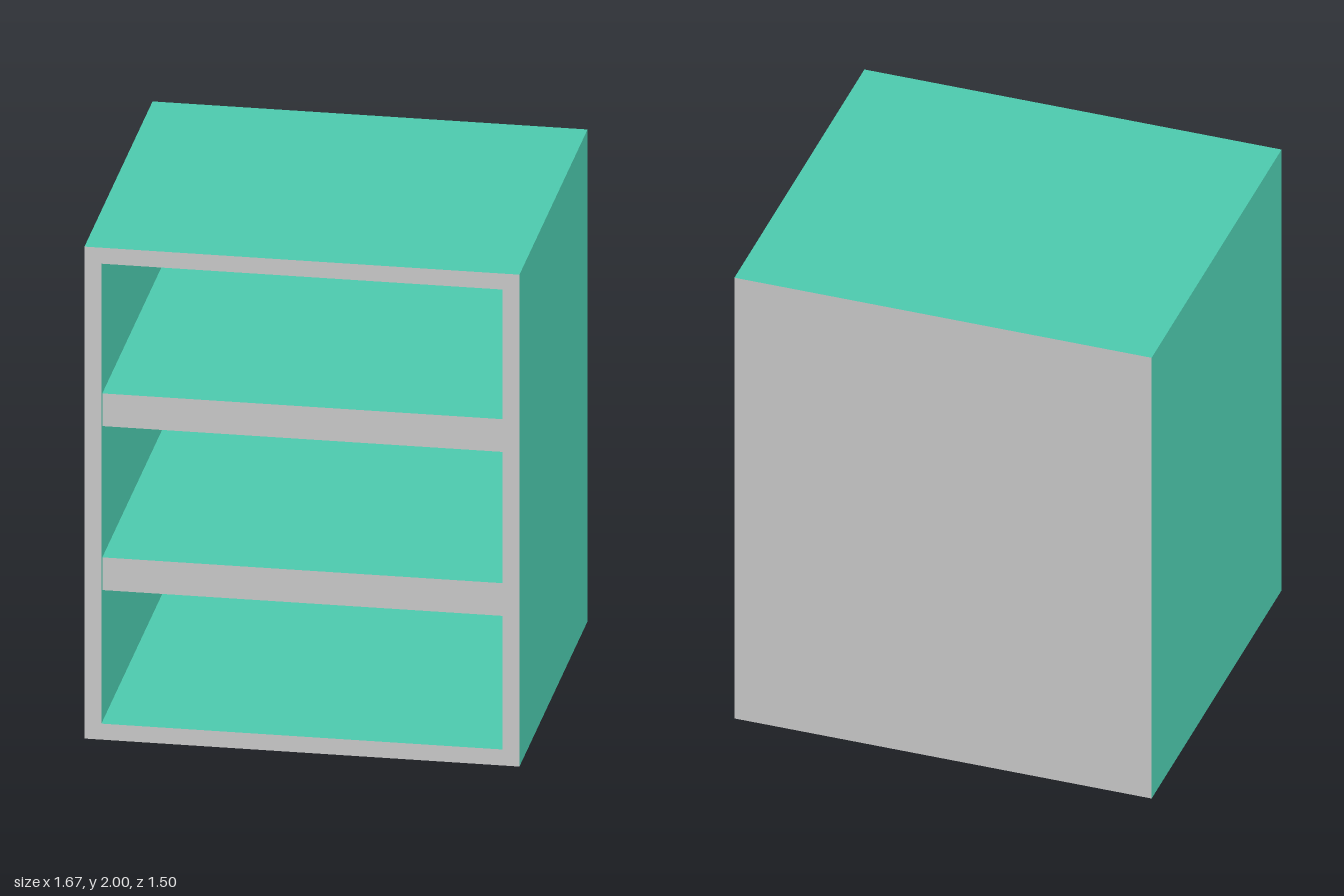
import * as THREE from 'three';

const W = 1.667, H = 2, D = 1.5, T = 0.065; // outer size and board thickness

export function createModel() {
  const group = new THREE.Group();
  const teal = new THREE.MeshStandardMaterial({ color: 0x4cc9ad });
  teal.name = 'teal laminate';
  const grey = new THREE.MeshStandardMaterial({ color: 0xc9c9c9 });
  grey.name = 'grey edging';

  const add = (name, geometry, materials, x, y, z) => {
    const mesh = new THREE.Mesh(geometry, materials);
    mesh.name = name;
    mesh.position.set(x, y, z);
    group.add(mesh);
  };

  // Rectangle path centred on x, standing on y = 0, inset by a margin
  const rectangle = (path, inset) => {
    const x = W / 2 - inset;
    return path.moveTo(-x, inset).lineTo(x, inset).lineTo(x, H - inset).lineTo(-x, H - inset).closePath();
  };

  // Carcass: teal top, bottom and sides with grey front edges
  const outline = rectangle(new THREE.Shape(), 0);
  outline.holes.push(rectangle(new THREE.Path(), T));
  const carcass = new THREE.ExtrudeGeometry(outline, { depth: D - T, bevelEnabled: false });
  add('carcass', carcass, [grey, teal], 0, 0, -D / 2 + T);

  // Back panel: teal inside, grey outside
  add('backPanel', new THREE.BoxGeometry(W, H, T), [teal, teal, teal, teal, teal, grey], 0, H / 2, -D / 2 + T / 2);

  // Two thick shelves, set slightly back, with grey front edges
  const recess = 0.02, shelfDepth = D - T - recess;
  ['lowerShelf', 'upperShelf'].forEach((name, i) => {
    const shelf = new THREE.BoxGeometry(W - 2 * T, 0.133, shelfDepth);
    add(name, shelf, [teal, teal, teal, teal, grey, grey], 0, (H / 3) * (i + 1), D / 2 - recess - shelfDepth / 2);
  });

  return group;
}
